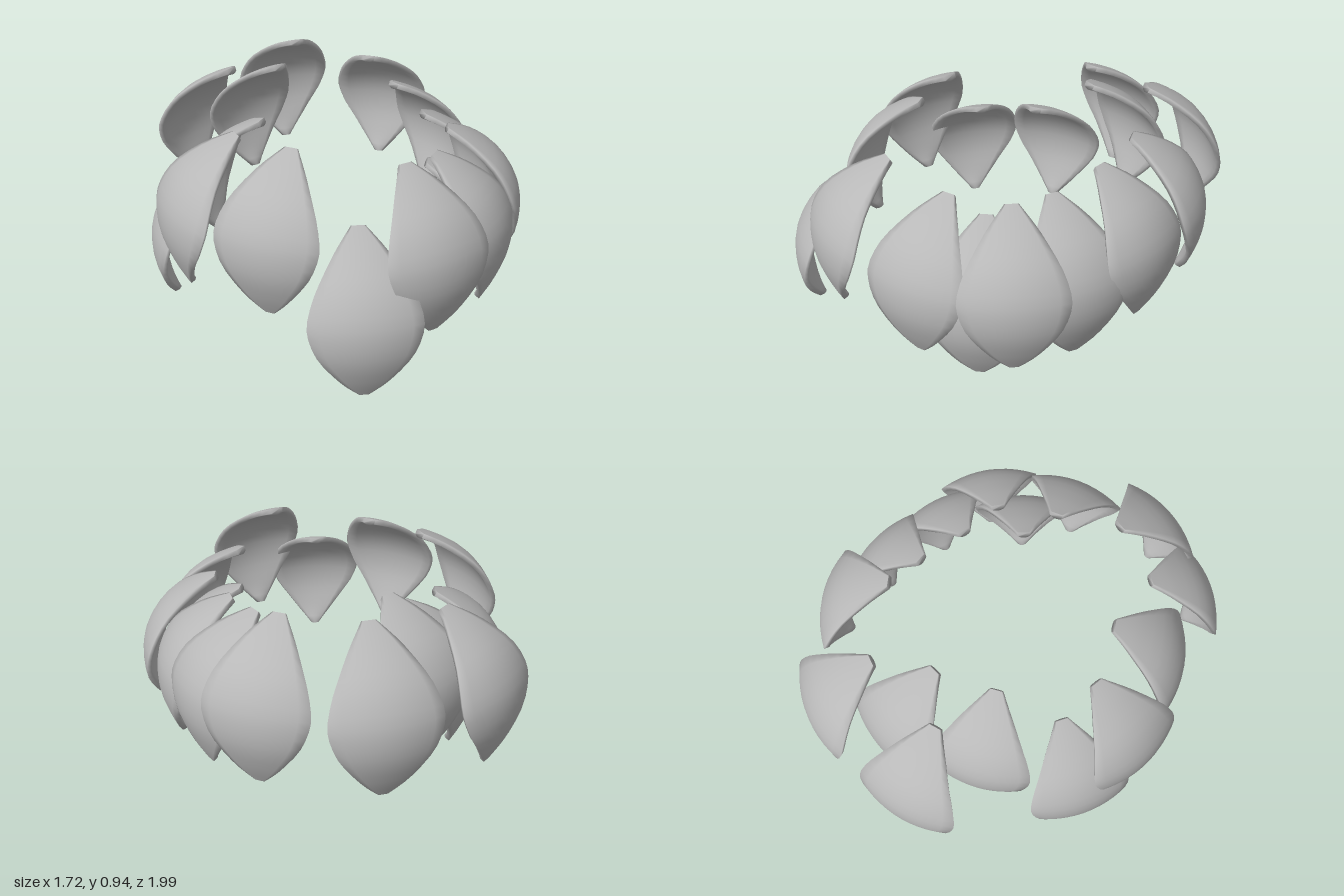
import * as THREE from 'three';

// Half width, height and outward distance (from the tip) along one petal's spine
const SPINE = [
  [0.02, 0.0, 0.275], [0.105, 0.1, 0.32], [0.2, 0.24, 0.358], [0.235, 0.38, 0.345],
  [0.2, 0.51, 0.265], [0.115, 0.605, 0.13], [0.03, 0.66, 0.01],
];
const HEIGHT = 0.66, ROWS = 18, COLS = 10, THICK = 0.032;

// Tip x, tip height, tip z, outward heading in degrees (0 = front, 90 = left)
const PETALS = [
  [0.08, 0.675, 0.64, 4], [0.27, 0.89, 0.52, 26], [0.42, 0.80, 0.27, 57],
  [0.41, 0.68, 0.12, 80], [0.51, 0.80, 0.02, 89], [0.42, 0.785, -0.15, 109],
  [0.30, 0.84, -0.36, 131], [0.19, 0.915, -0.51, 162], [-0.16, 0.955, -0.63, 195],
  [-0.24, 0.93, -0.38, 214], [-0.47, 0.90, -0.42, 230], [-0.32, 0.76, -0.14, 243],
  [-0.48, 0.68, 0.11, 278], [-0.41, 0.90, 0.26, 300], [-0.18, 0.90, 0.39, 337],
];

// Cupped leaf: closed cross-sections swept up the curved spine
function petalGeometry() {
  const curve = new THREE.CatmullRomCurve3(SPINE.map((p) => new THREE.Vector3(...p)));
  const pos = [], index = [];
  const ring = 2 * (COLS + 1);
  for (let i = 0; i <= ROWS; i++) {
    const p = curve.getPoint(i / ROWS), t = curve.getTangent(i / ROWS);
    const len = Math.hypot(t.y, t.z);
    const ny = t.z / len, nz = -t.y / len; // inward normal of the spine
    for (let k = 0; k < ring; k++) {
      const inner = k > COLS;
      const u = inner ? (1 - 2 * (k - COLS - 1) / COLS) * 0.95 : -1 + 2 * k / COLS;
      const d = (p.x * u) ** 2 + (inner ? THICK * (1 - 0.35 * u * u) : 0);
      pos.push(p.x * u, p.y + ny * d, p.z + nz * d);
    }
  }
  for (let i = 0; i < ROWS; i++) {
    for (let k = 0; k < ring; k++) {
      const a = i * ring + k, b = i * ring + (k + 1) % ring;
      index.push(a, b, a + ring, b, b + ring, a + ring);
    }
  }
  // Close the pointed ends
  const top = ROWS * ring;
  for (let k = 1; k < ring - 1; k++) {
    index.push(0, k + 1, k, top, top + k, top + k + 1);
  }
  const g = new THREE.BufferGeometry();
  g.setAttribute('position', new THREE.Float32BufferAttribute(pos, 3));
  g.setIndex(index);
  g.computeVertexNormals();
  return g;
}

export function createModel() {
  const model = new THREE.Group();
  model.name = 'petalRing';
  const grey = new THREE.MeshStandardMaterial({ color: 0xb8b8b8 });
  grey.name = 'petal grey';
  const geometry = petalGeometry();
  PETALS.forEach(([x, y, z, heading], i) => {
    const petal = new THREE.Mesh(geometry, grey);
    petal.name = `petal${i + 1}`;
    petal.position.set(x, y - HEIGHT, z);
    petal.rotation.y = THREE.MathUtils.degToRad(heading);
    model.add(petal);
  });
  return model;
}
